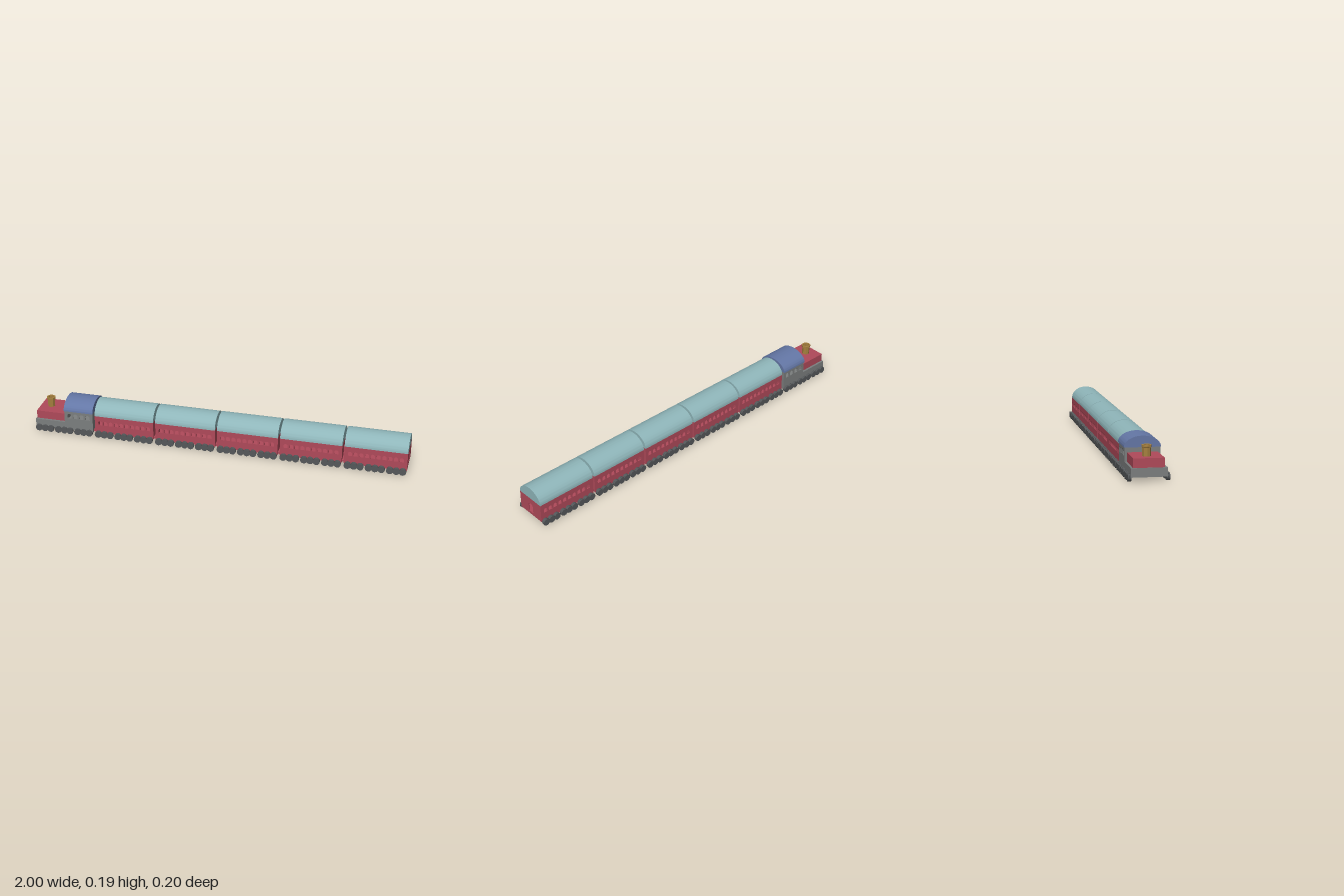
import * as THREE from 'three';
import { toCreasedNormals } from 'three/addons/utils/BufferGeometryUtils.js';

const material = (color) => new THREE.MeshStandardMaterial({ color });
const red = material(0xb04a5a), teal = material(0x8fb6ba), blue = material(0x6477a6);
const grey = material(0x7c7f7f), dark = material(0x55585a), brass = material(0xa5803f);

function add(parent, name, geometry, mat, x = 0, y = 0, z = 0) {
  const mesh = new THREE.Mesh(geometry, mat);
  mesh.name = name;
  mesh.position.set(x, y, z);
  parent.add(mesh);
  return mesh;
}

// Box given by its limits
function block(parent, name, mat, x0, x1, y0, y1, z0, z1) {
  return add(parent, name, new THREE.BoxGeometry(x1 - x0, y1 - y0, z1 - z0), mat,
    (x0 + x1) / 2, (y0 + y1) / 2, (z0 + z1) / 2);
}

function rectangle(x0, x1, y0, y1) {
  return new THREE.Shape([[x0, y0], [x1, y0], [x1, y1], [x0, y1]].map((p) => new THREE.Vector2(...p)));
}

// Opening with a round top
function arch(x, y0, y1, half) {
  const path = new THREE.Path();
  path.moveTo(x - half, y0);
  path.lineTo(x + half, y0);
  path.lineTo(x + half, y1 - half);
  path.absarc(x, y1 - half, half, 0, Math.PI, false);
  path.closePath();
  return path;
}

const extrude = (shape, depth) =>
  new THREE.ExtrudeGeometry(shape, { depth, bevelEnabled: false, curveSegments: 8 });

// Half-elliptical roof lying along x
function roof(parent, name, mat, x0, x1, y, half, rise, z = 0) {
  const shape = new THREE.Shape();
  shape.moveTo(half, 0);
  shape.absellipse(0, 0, half, rise, 0, Math.PI, false, 0);
  shape.closePath();
  const geometry = new THREE.ExtrudeGeometry(shape, { depth: x1 - x0, bevelEnabled: false, curveSegments: 24 });
  geometry.rotateY(Math.PI / 2);
  add(parent, name, toCreasedNormals(geometry, 0.6), mat, x0, y, z);
}

// Three groups of three wheels on each side
function wheels(parent, length) {
  const inner = new THREE.CylinderGeometry(0.0175, 0.0175, 0.008, 12).rotateX(Math.PI / 2);
  const outer = new THREE.CylinderGeometry(0.0185, 0.0185, 0.008, 12).rotateX(Math.PI / 2);
  for (const side of [-1, 1]) {
    for (let i = 0; i < 9; i++) {
      const x = length / 2 + (Math.floor(i / 3) - 1) * 0.109 + ((i % 3) - 1) * 0.033;
      add(parent, 'innerWheel', inner, dark, x, 0.0185, side * 0.085);
      add(parent, 'outerWheel', outer, dark, x, 0.0185, side * 0.094);
    }
  }
  for (let i = 0; i < 3; i++) {
    block(parent, 'axle', dark, length / 2 + (i - 1) * 0.109 - 0.004, length / 2 + (i - 1) * 0.109 + 0.004,
      0.022, 0.03, -0.094, 0.094);
  }
}

const CAR = 0.324, HALF = 0.081, WALL = 0.006;

function createCarriage() {
  const car = new THREE.Group();
  car.name = 'carriage';
  block(car, 'floor', red, 0, CAR, 0.021, 0.036, -HALF, HALF);

  // Side walls with a row of windows
  const side = rectangle(0, CAR, 0.021, 0.12);
  for (let i = 0; i < 10; i++) {
    const x = CAR / 2 + (i - 4.5) * 0.0295;
    side.holes.push(arch(x, 0.069, 0.092, 0.0105));
  }
  const sideGeometry = extrude(side, WALL);
  add(car, 'sideWall', sideGeometry, red, 0, 0, HALF - WALL);
  add(car, 'sideWall', sideGeometry, red, 0, 0, -HALF);

  // End walls with an arched doorway
  const end = rectangle(-HALF + WALL, HALF - WALL, 0.021, 0.12);
  end.holes.push(arch(0, 0.034, 0.088, 0.017));
  const endGeometry = extrude(end, WALL).rotateY(Math.PI / 2);
  add(car, 'endWall', endGeometry, red, 0, 0, 0);
  add(car, 'endWall', endGeometry, red, CAR - WALL, 0, 0);

  roof(car, 'carriageRoof', teal, 0, CAR, 0.12, HALF, 0.064);
  block(car, 'coupling', red, -0.012, 0, 0.023, 0.034, -0.07, 0.07);
  wheels(car, CAR);
  return car;
}

function createEngine() {
  const engine = new THREE.Group();
  engine.name = 'engine';
  const half = 0.085, cab0 = 0.165, cab1 = 0.323;
  block(engine, 'chassis', grey, 0, cab1, 0.021, 0.064, -half, half);
  block(engine, 'hood', red, 0.004, cab0, 0.064, 0.108, -0.074, 0.072);

  // Cab side walls with arched windows
  const side = rectangle(cab0, cab1, 0.064, 0.135);
  for (let i = 0; i < 4; i++) {
    side.holes.push(arch((cab0 + cab1) / 2 + (i - 1.5) * 0.034, 0.09, 0.117, 0.012));
  }
  const geometry = extrude(side, WALL);
  add(engine, 'cabSide', geometry, grey, 0, 0, half - WALL);
  add(engine, 'cabSide', geometry, grey, 0, 0, -half);
  for (const x of [cab0, cab1 - WALL]) {
    block(engine, 'cabEnd', grey, x, x + WALL, 0.064, 0.135, -half + WALL, half - WALL);
  }
  roof(engine, 'cabRoof', blue, cab0 - 0.002, cab1 + 0.001, 0.131, 0.088, 0.054, -0.001);

  // Chimney with a flared rim and an open top
  const profile = [[0.02, 0.1], [0.02, 0.148], [0.024, 0.15], [0.024, 0.161], [0.016, 0.161], [0.016, 0.135], [0, 0.135]]
    .map((p) => new THREE.Vector2(...p));
  const chimney = new THREE.LatheGeometry(profile, 8);
  add(engine, 'chimney', toCreasedNormals(chimney, 0.5), brass, 0.061, 0, -0.002);
  wheels(engine, cab1);
  return engine;
}

export function createModel() {
  const train = new THREE.Group();
  train.name = 'train';
  const engine = createEngine();
  engine.position.x = -1;
  train.add(engine);
  for (let i = 0; i < 5; i++) {
    const car = createCarriage();
    car.position.x = -0.666 + i * 0.3355;
    train.add(car);
  }
  return train;
}
